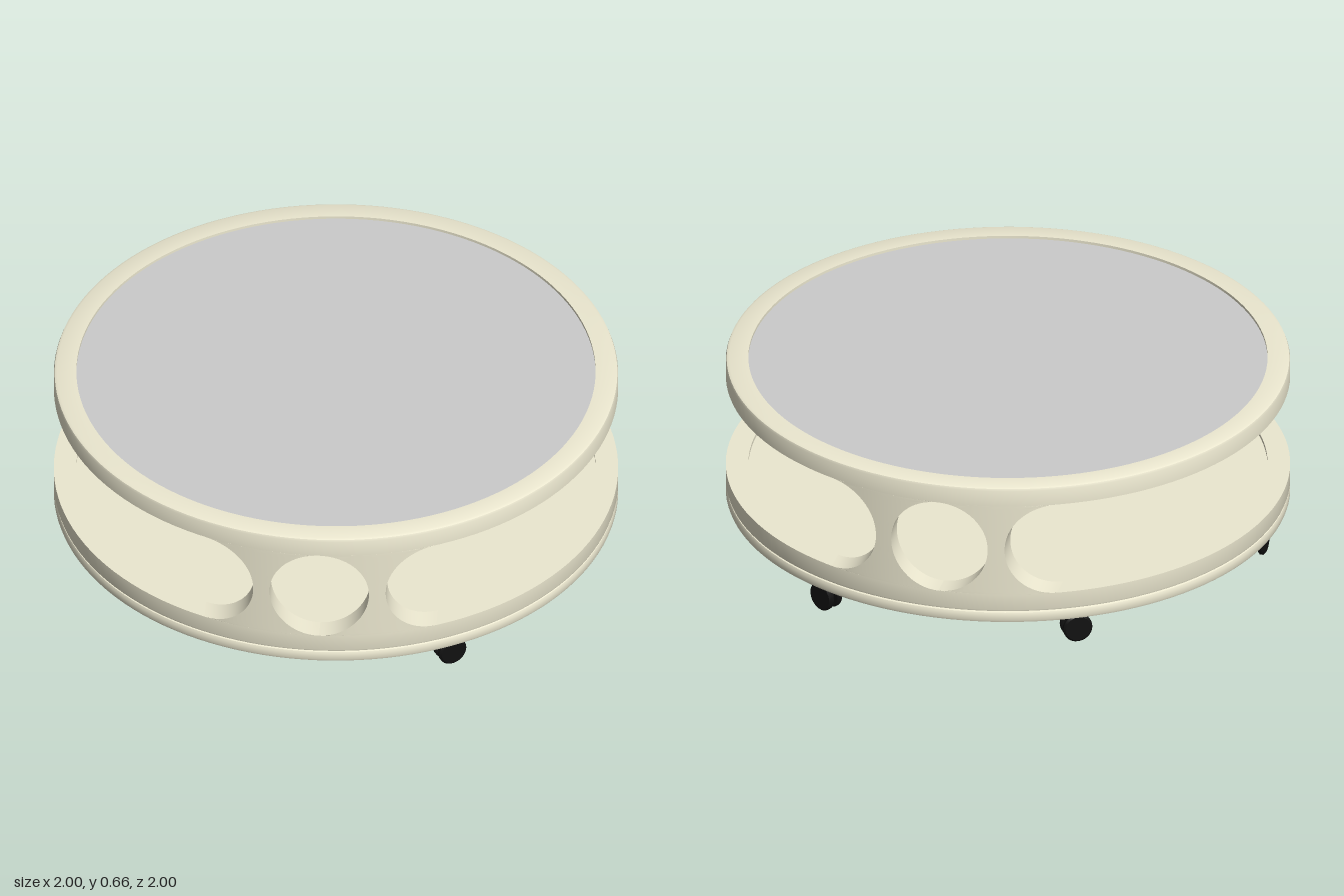
import * as THREE from 'three';
import { toCreasedNormals } from 'three/addons/utils/BufferGeometryUtils.js';

const cream = new THREE.MeshStandardMaterial({ color: 0xece8d0 });
const grey = new THREE.MeshStandardMaterial({ color: 0xcccccc });
const black = new THREE.MeshStandardMaterial({ color: 0x111111 });

const OUTER = 1, INNER = 0.92;                // wall radii
const LOW = 0.235, HIGH = 0.588;              // bottom and top of the openings
const MID = (LOW + HIGH) / 2, HOLE = (HIGH - LOW) / 2;
const SLOT_X = 0.235 + HOLE;                  // centre of the rounded slot end

function add(parent, name, geometry, material) {
  const mesh = new THREE.Mesh(geometry, material);
  mesh.name = name;
  parent.add(mesh);
  return mesh;
}

function lathe(points, segments = 128) {
  const profile = points.map(([r, y]) => new THREE.Vector2(r, y));
  return toCreasedNormals(new THREE.LatheGeometry(profile, segments), 0.6);
}

// Half of a wall web: the curved piece between the round hole and the slot end
function webGeometry(sign) {
  const rows = 32, cols = 10, ring = 2 * (cols + 1);
  const position = [], index = [];
  for (let i = 0; i <= rows; i++) {
    const t = (i / rows - 0.5) * Math.PI;
    const y = MID + HOLE * Math.sin(t);
    const edges = [sign * HOLE * Math.cos(t), sign * (SLOT_X - HOLE * Math.cos(t))];
    const x0 = Math.min(...edges), x1 = Math.max(...edges);
    for (let j = 0; j < ring; j++) {
      const outside = j <= cols;
      const s = outside ? j / cols : (ring - 1 - j) / cols;
      const x = x0 + (x1 - x0) * s, r = outside ? OUTER : INNER;
      position.push(x, y, Math.sqrt(r * r - x * x));
    }
  }
  for (let i = 0; i < rows; i++) {
    for (let j = 0; j < ring; j++) {
      const a = i * ring + j, b = i * ring + (j + 1) % ring;
      index.push(a, b, b + ring, a, b + ring, a + ring);
    }
  }
  const geometry = new THREE.BufferGeometry();
  geometry.setAttribute('position', new THREE.Float32BufferAttribute(position, 3));
  geometry.setIndex(index);
  return toCreasedNormals(geometry, 0.6);
}

// Twin-wheel caster, axle along x
function createCaster() {
  const caster = new THREE.Group();
  caster.name = 'caster';
  const wheel = lathe([[0, -0.011], [0.047, -0.011], [0.053, -0.006], [0.053, 0.005], [0.046, 0.011], [0, 0.011]], 28);
  for (const side of [-1, 1]) {
    const mesh = add(caster, 'casterWheel', wheel, black);
    mesh.rotation.z = -side * Math.PI / 2;
    mesh.position.set(side * 0.021, 0.053, 0);
  }
  const hub = add(caster, 'casterHub', new THREE.CylinderGeometry(0.03, 0.03, 0.03, 20), black);
  hub.rotation.z = Math.PI / 2;
  hub.position.y = 0.053;
  add(caster, 'casterStem', new THREE.CylinderGeometry(0.013, 0.013, 0.06, 16), black).position.y = 0.095;
  return caster;
}

export function createModel() {
  const table = new THREE.Group();
  table.name = 'roundTable';

  // Base disc with rounded rim
  add(table, 'baseDisc', lathe([
    [0, 0.12], [0.988, 0.12], [0.997, 0.124], [1, 0.132],
    [1, 0.153], [0.997, 0.161], [0.988, 0.165], [0, 0.165],
  ]), cream);

  // Solid rails below and above the openings
  add(table, 'lowerRail', lathe([
    [INNER, 0.165], [0.99, 0.165], [0.998, 0.168], [OUTER, 0.174],
    [OUTER, LOW], [INNER, LOW], [INNER, 0.165],
  ]), cream);
  add(table, 'upperRail', lathe([
    [INNER, HIGH], [OUTER, HIGH], [OUTER, 0.648], [0.997, 0.656],
    [0.988, 0.66], [INNER, 0.66], [INNER, HIGH],
  ]), cream);

  // Pierced webs joining the rails, front and back
  for (const turn of [0, Math.PI]) {
    const web = new THREE.Group();
    web.name = turn ? 'backWeb' : 'frontWeb';
    web.rotation.y = turn + 0.0075;
    for (const sign of [-1, 1]) add(web, 'webHalf', webGeometry(sign), cream);
    table.add(web);
  }

  // Shelf floor and inset top, both slightly recessed
  add(table, 'shelfFloor', new THREE.CylinderGeometry(INNER, INNER, 0.057, 128), cream).position.y = 0.1935;
  add(table, 'topPanel', new THREE.CylinderGeometry(INNER, INNER, 0.03, 128), grey).position.y = 0.635;

  // Five casters on a six-point ring, with one position left open
  for (const degrees of [0, 60, 180, 240, 300]) {
    const angle = THREE.MathUtils.degToRad(degrees);
    const caster = createCaster();
    caster.position.set(0.915 * Math.cos(angle), 0, 0.915 * Math.sin(angle));
    caster.rotation.y = -angle;
    table.add(caster);
  }
  return table;
}
